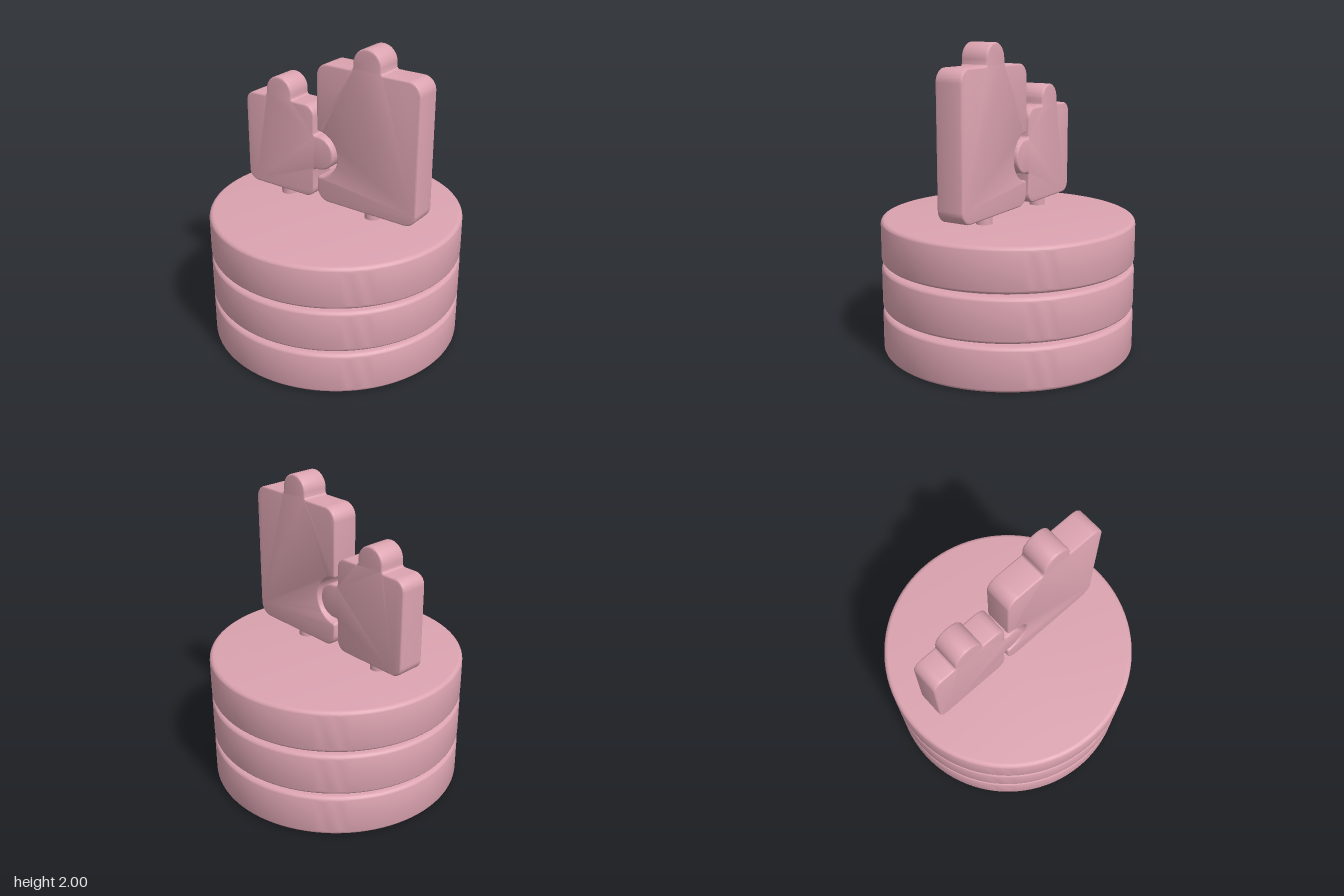
import * as THREE from 'three';
import { toCreasedNormals } from 'three/addons/utils/BufferGeometryUtils.js';

const PI = Math.PI;

export function createModel() {
  const group = new THREE.Group();
  const pink = new THREE.MeshStandardMaterial({ color: 0xdba3b0 });
  pink.name = 'dusty pink';

  function add(name, geometry, x = 0, y = 0, z = 0) {
    const mesh = new THREE.Mesh(geometry, pink);
    mesh.name = name;
    mesh.position.set(x, y, z);
    group.add(mesh);
  }

  // Three stacked discs with rounded rims
  const R = 0.825, H = 0.28, r = 0.03;
  const profile = [new THREE.Vector2(0, 0)];
  for (let i = 0; i <= 6; i++) {
    const a = -PI / 2 + (i / 6) * (PI / 2);
    profile.push(new THREE.Vector2(R - r + r * Math.cos(a), r + r * Math.sin(a)));
  }
  for (let i = 0; i <= 6; i++) {
    const a = (i / 6) * (PI / 2);
    profile.push(new THREE.Vector2(R - r + r * Math.cos(a), H - r + r * Math.sin(a)));
  }
  profile.push(new THREE.Vector2(0, H));
  const disc = toCreasedNormals(new THREE.LatheGeometry(profile, 96), 0.5);
  for (let i = 0; i < 3; i++) add('baseDisc' + (i + 1), disc, 0, i * 0.3, 0);

  // Narrow core visible in the grooves
  add('baseCore', new THREE.CylinderGeometry(0.75, 0.75, 0.4, 96), 0, 0.44, 0);

  // Puzzle piece: rounded body, round head, optional side knob or notch
  function piece(name, x0, x1, y0, y1, c, headX, rightSide, leftSide) {
    const s = new THREE.Shape();
    s.moveTo(x0 + c, y0);
    s.absarc(x1 - c, y0 + c, c, -PI / 2, 0, false);
    if (rightSide) rightSide(s, x1);
    s.absarc(x1 - c, y1 - c, c, 0, PI / 2, false);
    s.lineTo(headX + 0.12, y1);
    s.quadraticCurveTo(headX + 0.1, y1, headX + 0.1, y1 + 0.02);
    s.absarc(headX, y1 + 0.04, 0.1, 0, PI, false);
    s.lineTo(headX - 0.1, y1 + 0.02);
    s.quadraticCurveTo(headX - 0.1, y1, headX - 0.12, y1);
    s.absarc(x0 + c, y1 - c, c, PI / 2, PI, false);
    if (leftSide) leftSide(s, x0);
    s.absarc(x0 + c, y0 + c, c, PI, PI * 1.5, false);

    const bevel = 0.012, depth = 0.186;
    const geo = new THREE.ExtrudeGeometry(s, {
      depth: depth - 2 * bevel, curveSegments: 20,
      bevelEnabled: true, bevelThickness: bevel, bevelSize: bevel,
      bevelOffset: -bevel, bevelSegments: 3,
    });
    geo.translate(0, 0, bevel - depth / 2);
    add(name, toCreasedNormals(geo, 0.6));
  }

  const knob = (s, x) => {
    s.lineTo(x, 1.132);
    s.quadraticCurveTo(x, 1.15, x + 0.018, 1.15);
    s.absarc(x + 0.036, 1.262, 0.112, -PI / 2, PI / 2, false);
    s.lineTo(x + 0.018, 1.374);
    s.quadraticCurveTo(x, 1.374, x, 1.392);
  };
  const notch = (s, x) => {
    s.lineTo(x, 1.435);
    s.quadraticCurveTo(x, 1.415, x + 0.02, 1.415);
    s.absarc(x, 1.26, 0.156, 1.42, -1.42, true);
    s.lineTo(x + 0.02, 1.105);
    s.quadraticCurveTo(x, 1.105, x, 1.085);
  };

  piece('smallPuzzlePiece', -0.66, -0.11, 0.94, 1.57, 0.07, -0.387, knob, null);
  piece('largePuzzlePiece', -0.083, 0.656, 0.94, 1.86, 0.085, 0.287, null, notch);

  // Pegs joining the pieces to the base
  const peg = new THREE.CylinderGeometry(0.052, 0.052, 0.1, 32);
  add('smallPiecePeg', peg, -0.387, 0.91, 0);
  add('largePiecePeg', peg, 0.287, 0.91, 0);

  return group;
}
